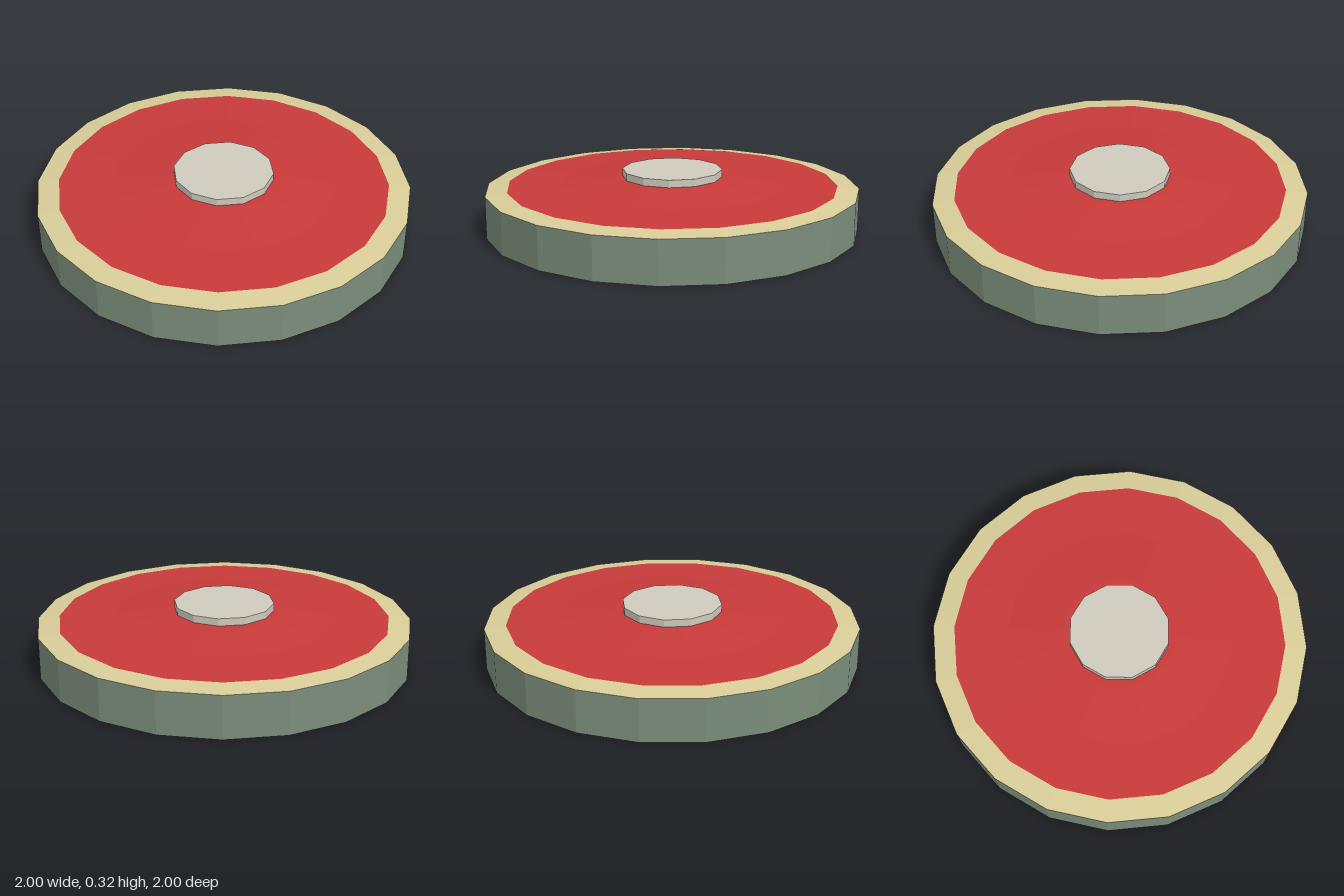
import * as THREE from 'three';

const SIDES = 20;

function addPart(group, name, geometry, color) {
  const material = new THREE.MeshStandardMaterial({ color: 0xcccccc, flatShading: true });
  material.color.set(color);
  const mesh = new THREE.Mesh(geometry, material);
  mesh.name = name;
  group.add(mesh);
  return mesh;
}

// Faceted ring surface from [radius, height] pairs, listed from outside to centre
function turned(profile, sides = SIDES) {
  return new THREE.LatheGeometry(profile.map(([r, y]) => new THREE.Vector2(r, y)), sides);
}

export function createModel() {
  const group = new THREE.Group();
  group.name = 'roundDisc';

  // Grey-green body: closed underside and straight wall
  addPart(group, 'body', turned([[0, 0], [1, 0], [1, 0.225]]), 0x7b8d7a);

  // Cream rim sloping gently inwards
  addPart(group, 'rim', turned([[1, 0.225], [0.885, 0.238]]), 0xd8cc98);

  // Red top, rising in a shallow cone to a flat centre
  addPart(group, 'top', turned([[0.885, 0.238], [0.6, 0.25], [0.3, 0.28], [0, 0.283]]), 0xc83a3a);

  // Pale twelve-sided button in the middle
  const button = addPart(group, 'centreButton', new THREE.CylinderGeometry(0.268, 0.268, 0.04, 12), 0xcfcabd);
  button.position.y = 0.3;

  return group;
}
